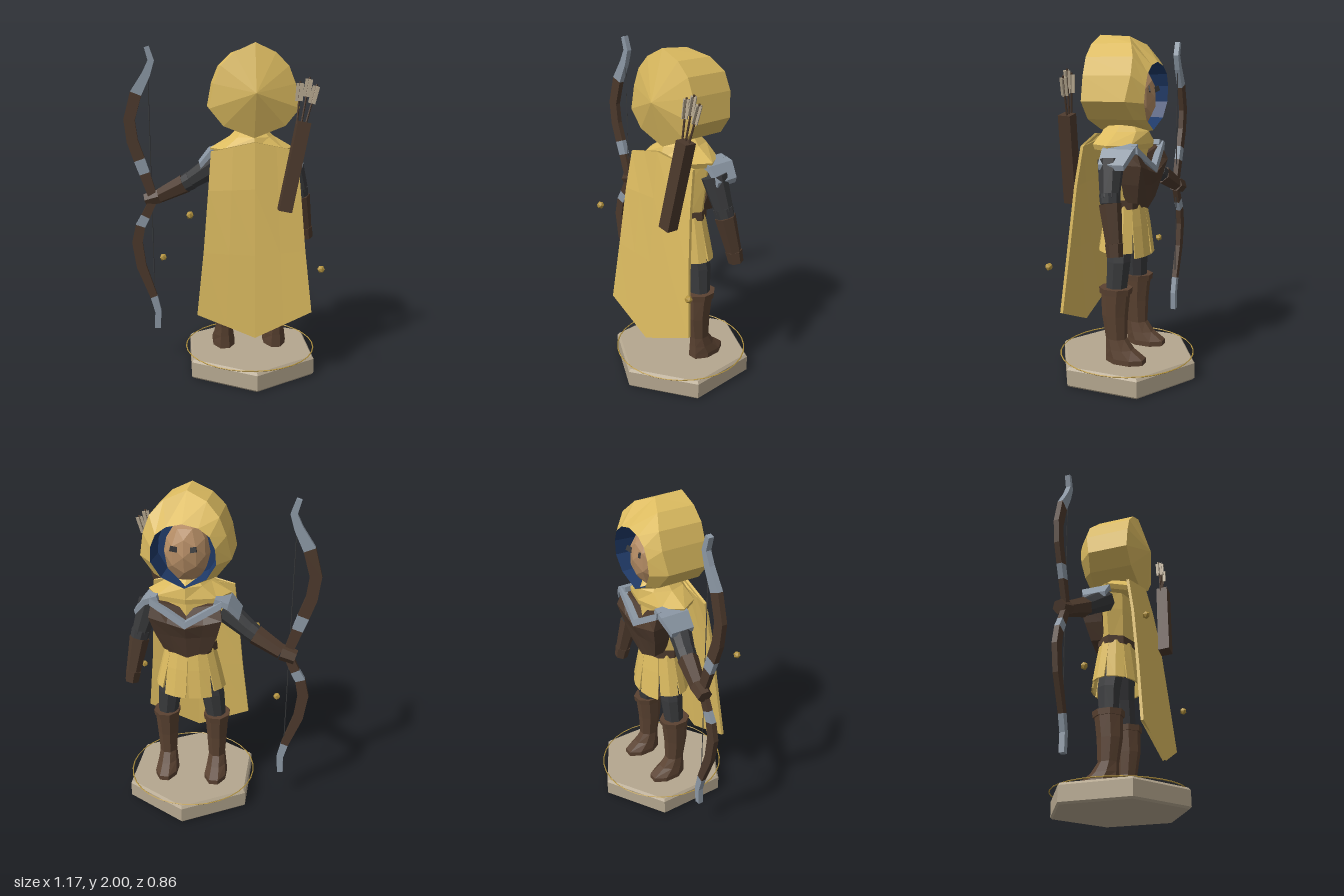
import * as THREE from 'three';

const mat = (name, color, side = THREE.FrontSide) => {
  const m = new THREE.MeshStandardMaterial({ color, side });
  m.name = name;
  return m;
};
const V = (x, y, z) => new THREE.Vector3(x, y, z);

// Faceted copy of a geometry
function facet(g) {
  const f = g.index ? g.toNonIndexed() : g;
  f.computeVertexNormals();
  return f;
}

// Skin over rings of equal point count; winding is corrected to face outward
function loft(rings, capA = true, capB = true) {
  const tris = [];
  const n = rings[0].length;
  for (let i = 0; i + 1 < rings.length; i++) {
    for (let j = 0; j < n; j++) {
      const k = (j + 1) % n, a = rings[i], b = rings[i + 1];
      tris.push([a[j], a[k], b[k]], [a[j], b[k], b[j]]);
    }
  }
  const cap = (r, flip) => {
    const c = r.reduce((s, p) => s.add(p), V(0, 0, 0)).divideScalar(n);
    r.forEach((p, j) => {
      const q = r[(j + 1) % n];
      tris.push(flip ? [c, q, p] : [c, p, q]);
    });
  };
  if (capA) cap(rings[0], true);
  if (capB) cap(rings[rings.length - 1], false);
  const mid = new THREE.Box3().setFromPoints(rings.flat()).getCenter(V(0, 0, 0));
  let vol = 0;
  for (const t of tris) {
    const [a, b, c] = t.map((p) => p.clone().sub(mid));
    vol += a.dot(b.cross(c));
  }
  const pts = tris.flatMap((t) => (vol < 0 ? [t[0], t[2], t[1]] : t));
  const g = new THREE.BufferGeometry().setFromPoints(pts);
  g.computeVertexNormals();
  return g;
}

// Horizontal ring: height, half width, back and front z, sides
function ring(y, w, zb, zf, n = 8, x = 0, phase = 0) {
  return Array.from({ length: n }, (_, i) => {
    const a = ((i + phase) / n) * Math.PI * 2;
    return V(x + w * Math.sin(a), y, (zb + zf) / 2 + ((zb - zf) / 2) * Math.cos(a));
  });
}

// Tapered rod between two points
function rod(a, b, ra, rb, sides = 6) {
  const d = b.clone().sub(a);
  const g = new THREE.CylinderGeometry(rb, ra, d.length(), sides);
  g.applyQuaternion(new THREE.Quaternion().setFromUnitVectors(V(0, 1, 0), d.normalize()));
  g.translate((a.x + b.x) / 2, (a.y + b.y) / 2, (a.z + b.z) / 2);
  return facet(g);
}

export function createModel() {
  const gold = mat('gold cloth', 0xdcbb60);
  const trinket = mat('dark gold', 0xb3933f);
  const leather = mat('dark leather', 0x4c392c);
  const boot = mat('boot leather', 0x5a4231);
  const charcoal = mat('charcoal cloth', 0x393a3c);
  const steel = mat('steel', 0x8c98a5);
  const stone = mat('pale stone', 0xb5a78f);
  const skin = mat('skin', 0xb48c64);
  const navy = mat('navy lining', 0x1f3a68, THREE.DoubleSide);

  const model = new THREE.Group();
  const body = new THREE.Group();
  body.name = 'figure';
  body.position.x = 0.18;
  model.add(body);
  const add = (name, geo, m, parent = body) => {
    const mesh = new THREE.Mesh(geo, m);
    mesh.name = name;
    parent.add(mesh);
    return mesh;
  };

  // Hexagonal base and thin hoop
  add('base', loft([[0, 0.42], [0.012, 0.432], [0.105, 0.432], [0.12, 0.418]]
    .map(([y, r]) => ring(y, r, r, -r, 6))), stone);
  const hoop = new THREE.TorusGeometry(0.403, 0.004, 4, 32).rotateX(Math.PI / 2).translate(0, 0.122, 0);
  add('hoop', facet(hoop), trinket);

  // Legs and boots
  for (const s of [-1, 1]) {
    const x = 0.162 * s;
    add('leg', loft([ring(0.86, 0.08, 0.08, -0.08, 8, 0.1 * s), ring(0.72, 0.075, 0.065, -0.08, 8, 0.135 * s),
      ring(0.5, 0.06, 0.06, -0.06, 8, x)]), charcoal);
    add('boot', loft([[0.12, 0.074, 0.065, -0.185], [0.15, 0.074, 0.065, -0.185], [0.2, 0.064, 0.062, -0.11],
      [0.26, 0.055, 0.062, -0.065], [0.4, 0.066, 0.085, -0.07], [0.54, 0.076, 0.088, -0.085]]
      .map(([y, w, b, f]) => ring(y, w, b, f, 8, x, 0.5))), boot);
    add('bootCuff', loft([ring(0.53, 0.082, 0.097, -0.095, 8, x, 0.5), ring(0.567, 0.086, 0.1, -0.1, 8, x, 0.5)]), boot);
  }

  // Tunic, belt and split skirt
  add('tunic', loft([ring(1.0, 0.15, 0.11, -0.11), ring(1.25, 0.185, 0.12, -0.125), ring(1.4, 0.2, 0.12, -0.12)]), gold);
  add('belt', loft([ring(1.02, 0.168, 0.12, -0.122), ring(1.072, 0.163, 0.116, -0.118)]), leather);
  const panels = 8;
  for (let i = 0; i < panels; i++) {
    const at = (f, y, w, d) => {
      const a = ((i + f) / panels) * Math.PI * 2;
      return V(w * Math.sin(a), y, d * Math.cos(a));
    };
    const row = (y, w, d, gap) => [at(gap, y, w, d), at(0.5, y, w, d), at(1 - gap, y, w, d),
      at(1 - gap, y, w - 0.012, d - 0.012), at(0.5, y, w - 0.012, d - 0.012), at(gap, y, w - 0.012, d - 0.012)];
    const drop = i === 3 || i === 4 ? 0.74 : 0.775;
    add('skirtPanel', loft([row(1.04, 0.155, 0.112, 0), row(0.92, 0.185, 0.132, 0.01), row(drop, 0.22, 0.155, 0.06)]), gold);
  }

  // Breastplate with V trim
  const plate = (y, dip, w, z) => [V(-w, y, z), V(-w / 2, y - dip / 2, z - 0.004), V(0, y - dip, z - 0.008),
    V(w / 2, y - dip / 2, z - 0.004), V(w, y, z), V(w * 0.9, y, -0.04), V(0, y - dip, -0.04), V(-w * 0.9, y, -0.04)];
  add('breastplate', loft([plate(1.06, 0.05, 0.14, -0.125), plate(1.17, 0.02, 0.185, -0.15),
    plate(1.28, 0.06, 0.215, -0.177), plate(1.37, 0.14, 0.2, -0.14)]), leather);
  for (const s of [-1, 1]) {
    const end = (x, y, z) => [V(x, y + 0.02, z + 0.03), V(x, y + 0.018, z - 0.006), V(x, y - 0.022, z - 0.012), V(x, y - 0.022, z + 0.03)];
    add('chestTrim', loft([end(0.21 * s, 1.37, -0.145), end(0, 1.245, -0.178)]), steel);
  }

  // Shoulder mantle
  add('mantle', loft([ring(1.36, 0.24, 0.17, -0.145), ring(1.39, 0.25, 0.18, -0.15), ring(1.46, 0.13, 0.15, -0.14),
    ring(1.5, 0.09, 0.1, -0.1)]), gold);

  // Cape: wide folded sheet ending in a point
  const capeRow = (w, ySide, yMid, zSide, zMid) => {
    const cols = [-1, -0.5, 0, 0.5, 1].map((u) => V(u * w, yMid + (ySide - yMid) * Math.abs(u), zMid + (zSide - zMid) * Math.abs(u)));
    return [...cols, ...cols.slice().reverse().map((p) => V(p.x, p.y, p.z - 0.018))];
  };
  add('cape', loft([capeRow(0.252, 1.385, 1.44, 0.17, 0.2), capeRow(0.27, 1.16, 1.17, 0.205, 0.225),
    capeRow(0.3, 0.8, 0.78, 0.24, 0.255), capeRow(0.34, 0.43, 0.285, 0.272, 0.293)]), gold);

  // Hood: back point, two full rings and the rim of the opening
  const mirror = (half) => [...half, ...half.slice(1, -1).reverse().map(([x, y, z]) => [-x, y, z])].map((p) => V(...p));
  const outline = [[0, 2], [0.12, 1.945], [0.195, 1.87], [0.235, 1.77], [0.262, 1.63], [0.18, 1.53], [0, 1.46]];
  const midZ = [-0.02, -0.08, -0.12, -0.125, -0.1, -0.12, -0.145];
  const back = mirror(outline.map(([x, y]) => [x, y, 0.16]));
  const middle = mirror(outline.map(([x, y], i) => [x, y - (i ? 0 : 0.012), midZ[i]]));
  const rim = mirror([[0, 1.845, -0.19], [0.09, 1.825, -0.19], [0.15, 1.78, -0.19], [0.18, 1.71, -0.188],
    [0.185, 1.62, -0.182], [0.13, 1.53, -0.175], [0, 1.465, -0.166]]);
  const tip = back.map(() => V(0, 1.72, 0.242));
  add('hood', loft([tip, back, middle, rim], false, false), gold);
  const inner = rim.map((p) => V(p.x * 0.95, 1.655 + (p.y - 1.655) * 0.95, -0.02));
  add('hoodLining', loft([rim, inner], false, true), navy);

  // Head and eyes
  add('head', facet(new THREE.IcosahedronGeometry(1, 1).scale(0.135, 0.18, 0.125).translate(0, 1.65, -0.05)), skin);
  for (const s of [-1, 1]) {
    const eye = add('eye', new THREE.BoxGeometry(0.042, 0.03, 0.008), charcoal);
    eye.position.set(0.055 * s, 1.695, -0.163);
    eye.rotation.set(0.2, 0.4 * s, 0.2 * s);
  }

  // Shoulder guards
  for (const s of [-1, 1]) {
    const edge = (x, y, zb, zf, t) => [V(x * s, y, zb), V(x * s, y, zf), V(x * s - 0.008 * s, y - t, zf), V(x * s - 0.008 * s, y - t, zb)];
    add('shoulderGuard', loft([edge(0.17, 1.4, 0.03, -0.14, 0.03), edge(0.25, 1.375, 0.04, -0.145, 0.035),
      edge(0.315, 1.295, 0.035, -0.115, 0.03)]), steel);
  }

  // Arms: relaxed left, right reaching out to the bow
  const arm = (shoulder, elbow, wrist, hand) => {
    const cuff = elbow.clone().lerp(wrist, 0.12);
    add('upperArm', rod(shoulder, elbow, 0.075, 0.055, 8), charcoal, model);
    add('elbow', rod(elbow.clone().lerp(shoulder, 0.12), cuff, 0.06, 0.056, 8), charcoal, model);
    add('forearm', rod(cuff, wrist, 0.062, 0.046), leather, model);
    add('hand', rod(wrist, hand, 0.05, 0.044), leather, model);
  };
  arm(V(0.42, 1.31, -0.01), V(0.485, 1.11, -0.03), V(0.53, 0.87, -0.075), V(0.542, 0.8, -0.085));
  arm(V(-0.03, 1.29, -0.01), V(-0.2, 1.17, -0.06), V(-0.38, 1.075, -0.105), V(-0.465, 1.05, -0.115));

  // Bow: x, y and width along the stave
  const stave = [[-0.44, 1.98, 0.03], [-0.415, 1.9, 0.038], [-0.445, 1.82, 0.05], [-0.51, 1.705, 0.07],
    [-0.553, 1.55, 0.068], [-0.537, 1.42, 0.068], [-0.497, 1.305, 0.068], [-0.467, 1.22, 0.064],
    [-0.415, 1.06, 0.055], [-0.467, 0.95, 0.055], [-0.5, 0.89, 0.06], [-0.522, 0.785, 0.065],
    [-0.5, 0.63, 0.06], [-0.425, 0.425, 0.045], [-0.4, 0.325, 0.04], [-0.405, 0.213, 0.037]];
  const sections = stave.map(([x, y, w], i) => {
    const p = stave[Math.max(0, i - 1)], q = stave[Math.min(stave.length - 1, i + 1)];
    const t = V(q[0] - p[0], q[1] - p[1], 0).normalize().multiplyScalar(w / 2);
    return [[1, 1], [1, -1], [-1, -1], [-1, 1]].map(([a, b]) => V(x - a * t.y, y + a * t.x, -0.095 + b * 0.016));
  });
  [[0, 3, steel], [3, 6, leather], [6, 7, steel], [7, 9, leather], [9, 10, steel], [10, 13, leather], [13, 15, steel]]
    .forEach(([a, b, m]) => add(m === steel ? 'bowFitting' : 'bowLimb', loft(sections.slice(a, b + 1)), m, model));
  add('bowString', rod(V(-0.435, 1.86, -0.095), V(-0.42, 0.42, -0.095), 0.003, 0.003, 4), charcoal, model);

  // Quiver with three arrows
  const quiver = new THREE.Group();
  quiver.name = 'quiver';
  quiver.position.set(0.398, 1.305, 0.256);
  quiver.rotation.set(-0.055, 0, -0.2);
  model.add(quiver);
  add('quiverCase', new THREE.BoxGeometry(0.076, 0.52, 0.074), leather, quiver);
  [-1, 0, 1].forEach((k) => {
    const arrow = new THREE.Group();
    arrow.name = 'arrow';
    arrow.position.set(0.02 * k - 0.008, 0.2, -0.008);
    arrow.rotation.z = -0.1 * k + 0.03;
    quiver.add(arrow);
    const top = k === 0 ? 0.31 : 0.28;
    add('arrowShaft', rod(V(0, 0, 0), V(0, top, 0), 0.006, 0.006, 5), leather, arrow);
    for (const turn of [0, Math.PI / 2]) {
      add('fletching', new THREE.BoxGeometry(0.042, 0.1, 0.006), stone, arrow).position.y = top - 0.06;
      arrow.children[arrow.children.length - 1].rotation.y = turn;
    }
  });

  // Floating beads
  [[-0.2, 1.045, 0.315], [-0.36, 0.71, 0], [0.56, 0.71, 0.315]].forEach((p) => {
    add('bead', facet(new THREE.IcosahedronGeometry(0.023, 0)), trinket, model).position.set(...p);
  });
  return model;
}
